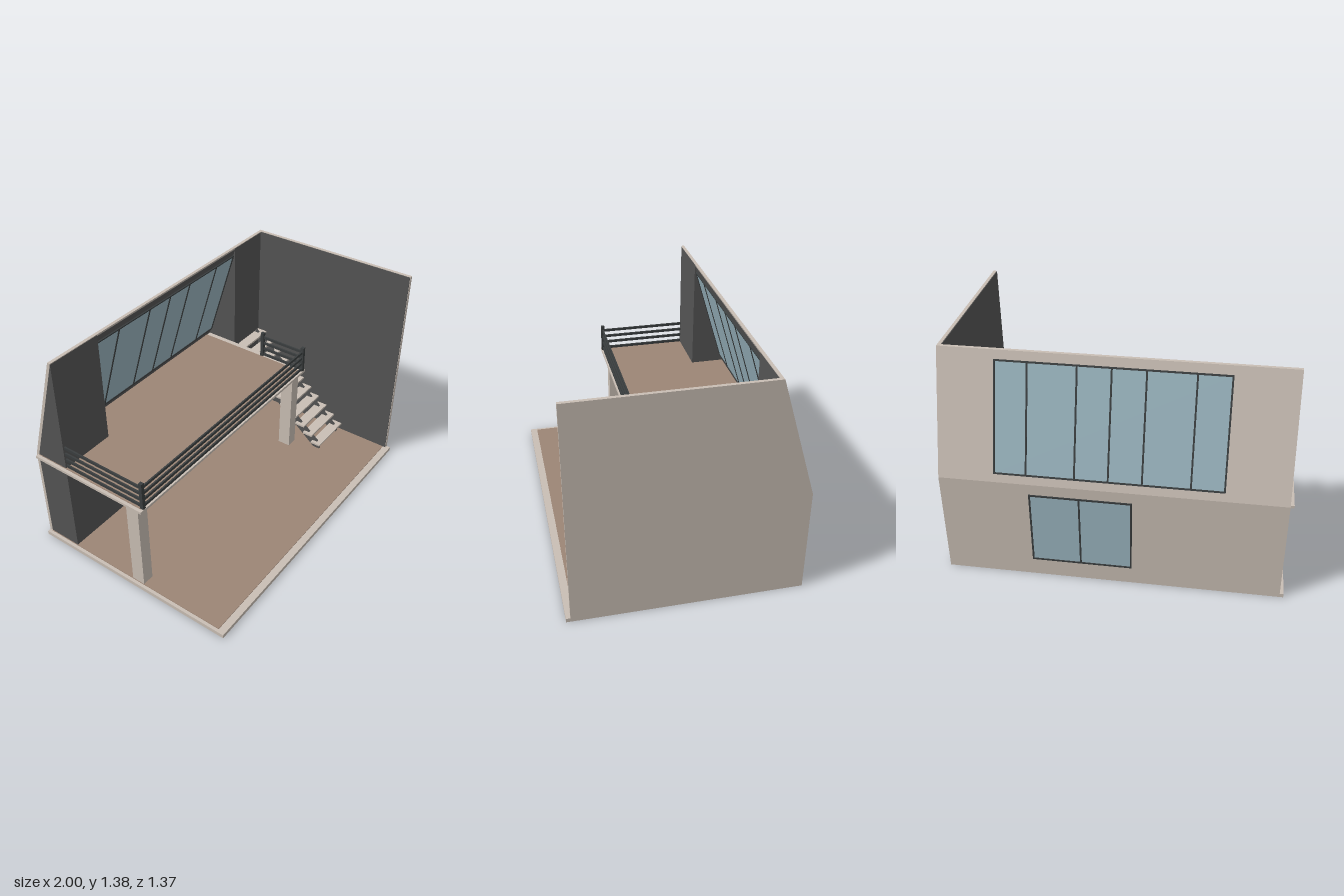
import * as THREE from 'three';

const mat = (name, color, extra = {}) => {
  const m = new THREE.MeshStandardMaterial({ color, ...extra });
  m.name = name;
  return m;
};

export function createModel() {
  const model = new THREE.Group();
  model.name = 'house';
  const plaster = mat('plaster', 0xc9beb4);
  const charcoal = mat('charcoal wall', 0x545454);
  const wood = mat('wood floor', 0x9c8575);
  const metal = mat('dark metal', 0x3a3e3f);
  const glass = mat('glass', 0x9ab5bf);
  const fabric = mat('curtain fabric', 0x2f3768, { side: THREE.DoubleSide });
  const bronze = mat('curtain rod', 0x4a4540);

  const add = (name, geo, material, parent = model) => {
    const mesh = new THREE.Mesh(geo, material);
    mesh.name = name;
    parent.add(mesh);
    return mesh;
  };
  // Box given by its extents on each axis
  const box = (name, material, [x0, x1], [y0, y1], [z0, z1], parent = model) => {
    const g = new THREE.BoxGeometry(x1 - x0, y1 - y0, z1 - z0);
    g.translate((x0 + x1) / 2, (y0 + y1) / 2, (z0 + z1) / 2);
    return add(name, g, material, parent);
  };
  // Prism with a (z, y) profile, running from x0 to x1
  const prism = (name, material, profile, x0, x1) => {
    const shape = new THREE.Shape(profile.map(([z, y]) => new THREE.Vector2(-z, y)));
    const g = new THREE.ExtrudeGeometry(shape, { depth: x1 - x0, bevelEnabled: false });
    g.rotateY(Math.PI / 2).translate(x0, 0, 0);
    return add(name, g, material);
  };

  // Ground slab and floor
  box('baseSlab', plaster, [-1, 1], [0, 0.025], [-0.68, 0.685]);
  box('groundFloor', wood, [-0.98, 0.98], [0.02, 0.029], [-0.66, 0.64]);

  // Side wall with a charcoal inner face
  prism('sideWall', plaster,
    [[0.66, 0], [0.66, 1.375], [-0.46, 1.375], [-0.68, 0.65], [-0.68, 0]], 0.98, 1);
  box('sideWallLining', charcoal, [0.976, 0.981], [0.029, 1.372], [-0.45, 0.657]);

  // Back wall: upright below, leaning inwards above
  prism('backWall', plaster, [[-0.68, 0.01], [-0.66, 0.01], [-0.66, 0.65],
    [-0.44, 1.375], [-0.46, 1.375], [-0.68, 0.65]], -0.978, 0.982);

  // Charcoal blocks that fill the space behind the leaning wall
  const wedge = [[-0.665, 0.645], [-0.442, 0.645], [-0.442, 1.372]];
  prism('upperLeftBlock', charcoal, wedge, -0.977, -0.62);
  prism('upperRightBlock', charcoal, wedge, 0.68, 0.98);
  box('lowerLeftBlock', charcoal, [-0.977, -0.3], [0.029, 0.637], [-0.665, -0.442]);
  box('lowerRightBlock', charcoal, [0.668, 0.98], [0.029, 0.65], [-0.665, -0.442]);

  // Framed window: panes and bars pass through the wall, x divided at the given bars
  const windowUnit = (name, xs, [y0, y1], [z0, z1], parent) => {
    const group = new THREE.Group();
    group.name = name;
    parent.add(group);
    const w = 0.005;
    box('pane', glass, [xs[0], xs.at(-1)], [y0, y1], [z0 + 0.004, z1 - 0.004], group);
    for (const x of xs) box('uprightBar', metal, [x - w, x + w], [y0, y1], [z0, z1], group);
    for (const y of [y0, y1]) {
      box('crossBar', metal, [xs[0] - w, xs.at(-1) + w], [y - w, y + w], [z0, z1], group);
    }
  };
  // Local frame of the leaning wall: y runs up the slope, z points inwards
  const slope = new THREE.Group();
  slope.name = 'slopingWallParts';
  slope.position.set(0, 0.65, -0.68);
  slope.rotation.x = Math.atan2(0.22, 0.725);
  model.add(slope);
  box('slopeLining', charcoal, [-0.63, 0.69], [0.006, 0.75], [0.015, 0.021], slope);
  windowUnit('roofWindow', [-0.62, -0.435, -0.165, 0.025, 0.215, 0.49, 0.673],
    [0.055, 0.7], [-0.006, 0.029], slope);
  windowUnit('lowerWindow', [-0.107, 0.19, 0.475], [0.118, 0.578], [-0.686, -0.652], model);

  // Curtains with folds, hung from a rod
  const curtain = (name, x0, x1) => {
    const g = new THREE.PlaneGeometry(x1 - x0, 0.495, 64, 4);
    const p = g.attributes.position;
    for (let i = 0; i < p.count; i++) {
      const x = p.getX(i), y = p.getY(i);
      p.setZ(i, 0.012 * Math.sin(x * 230 + y) + 0.004 * Math.sin(x * 97 + y * 6));
      p.setX(i, x - 0.008 * (y - 0.25) * Math.sign(x));
    }
    g.computeVertexNormals();
    add(name, g, fabric).position.set((x0 + x1) / 2, 0.342, -0.625);
  };
  curtain('leftCurtain', 0.265, 0.405);
  curtain('rightCurtain', 0.012, 0.218);
  const rod = new THREE.CylinderGeometry(0.008, 0.008, 0.62, 12).rotateZ(Math.PI / 2);
  add('curtainRod', rod, bronze).position.set(0.18, 0.587, -0.625);
  for (const x of [-0.13, 0.49]) {
    add('rodKnob', new THREE.SphereGeometry(0.013, 12, 8), bronze).position.set(x, 0.587, -0.625);
    box('rodBracket', bronze, [x - 0.004, x + 0.004], [0.58, 0.594], [-0.665, -0.625]);
  }

  // Upper deck on two columns
  box('deckSlab', plaster, [-1, 0.678], [0.635, 0.651], [-0.665, 0.138]);
  box('deckFloor', wood, [-0.98, 0.642], [0.647, 0.654], [-0.66, 0.12]);
  for (const x of [-0.978, 0.594]) {
    box('column', plaster, [x, x + 0.075], [0.025, 0.637], [0.01, 0.095]);
  }

  // Railing around the deck
  const xl = -0.965, xr = 0.655, zf = 0.125, zEnd = -0.19, t = 0.005;
  for (const [x, z] of [[xl, zf], [xr, zf], [xr, zEnd]]) {
    box('railPost', metal, [x - 0.011, x + 0.011], [0.65, 0.832], [z - 0.011, z + 0.011]);
  }
  for (let i = 0; i < 4; i++) {
    const y = [0.657 + i * 0.044, 0.674 + i * 0.044];
    box('frontRail', metal, [xl, xr], y, [zf - t, zf + t]);
    box('rightRail', metal, [xl - t, xl + t], y, [-0.445, zf]);
    box('leftRail', metal, [xr - t, xr + t], y, [zEnd, zf]);
  }

  // Open stair rising towards the back
  const steps = 11, run = 0.0672, rise = 0.0535;
  for (let i = 0; i < steps; i++) {
    const y = 0.068 + i * rise, z = 0.3 - i * run;
    box('stairTread', plaster, [0.667, 0.978], [y, y + 0.013], [z - run - 0.004, z]);
  }
  for (const x of [0.69, 0.925]) {
    prism('stairStringer', charcoal, [[0.285, 0.027], [0.285, 0.066], [-0.43, 0.635],
      [-0.43, 0.575], [0.24, 0.027]], x, x + 0.018);
  }
  return model;
}
